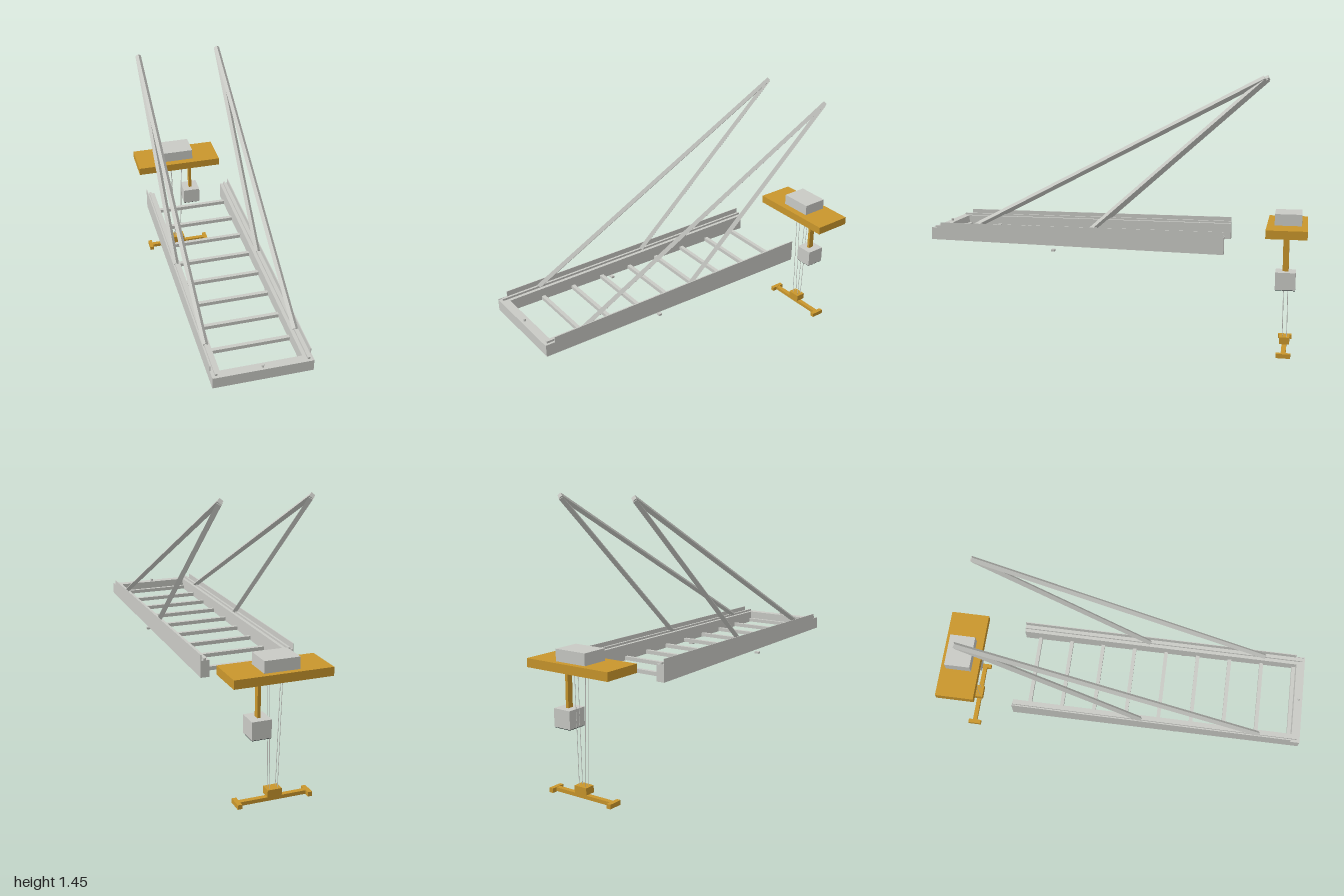
import * as THREE from 'three';

const mat = (name, color) => {
  const m = new THREE.MeshStandardMaterial({ color });
  m.name = name;
  return m;
};

export function createModel() {
  const model = new THREE.Group();
  model.name = 'containerCraneBoom';
  const steel = mat('pale grey steel', 0xc9cac5);
  const gold = mat('golden yellow paint', 0xc9962c);
  const dark = mat('dark cab glass', 0x10181a);

  const add = (name, geometry, material) => {
    const mesh = new THREE.Mesh(geometry, material);
    mesh.name = name;
    model.add(mesh);
    return mesh;
  };
  // box given by its limits on each axis
  const box = (name, material, [x0, x1], [y0, y1], [z0, z1]) => {
    const mesh = add(name, new THREE.BoxGeometry(x1 - x0, y1 - y0, z1 - z0), material);
    mesh.position.set((x0 + x1) / 2, (y0 + y1) / 2, (z0 + z1) / 2);
    return mesh;
  };
  // straight bar between two points; four sides give a diamond section
  const bar = (name, material, a, b, radius, sides) => {
    const from = new THREE.Vector3(...a), to = new THREE.Vector3(...b);
    const dir = to.clone().sub(from);
    const mesh = add(name, new THREE.CylinderGeometry(radius, radius, dir.length(), sides).toNonIndexed(), material);
    mesh.geometry.computeVertexNormals();
    mesh.position.copy(from).add(to).multiplyScalar(0.5);
    mesh.quaternion.setFromUnitVectors(new THREE.Vector3(0, 1, 0), dir.normalize());
    return mesh;
  };
  // side profile of (z, y) points, extruded across x from x0 to x1
  const slab = (name, points, x0, x1) => {
    const shape = new THREE.Shape(points.map(([z, y]) => new THREE.Vector2(z, y)));
    const geometry = new THREE.ExtrudeGeometry(shape, { depth: x1 - x0, bevelEnabled: false });
    geometry.rotateY(-Math.PI / 2).translate(x1, 0, 0);
    return add(name, geometry, steel);
  };

  // underside of the girders drops slightly towards the back
  const under = z => 0.57 - (1 - z) * 0.016;

  for (const s of [-1, 1]) {
    const span = (a, b) => (s > 0 ? [a, b] : [-b, -a]);

    // side girder, raised outer plate and trolley rail
    slab('girder', [[1, under(1)], [1, 0.632], [-0.58, 0.632], [-0.58, under(-0.58)]], ...span(0.203, 0.245));
    slab('girderOuterPlate', [[1, under(1)], [1, 0.635], [0.95, 0.635], [0.95, 0.663],
      [-0.58, 0.663], [-0.58, under(-0.58)]], ...span(0.245, 0.249));
    box('trolleyRail', steel, span(0.221, 0.233), [0.632, 0.643], [-0.58, 0.985]);

    // diagonal stays meeting at the top
    const x = s * 0.227;
    bar('longStay', steel, [x, 0.638, 0.775], [x, 1.438, -0.77], 0.0155, 4);
    bar('shortStay', steel, [x, 0.638, 0.128], [x, 1.43, -0.765], 0.0155, 4);

    // small pin under the girder
    box('lowerPin', steel, span(0.214, 0.24), [0.525, 0.536], [0.316, 0.334]);

    // hoist ropes
    for (const z of [-0.882, -0.905]) {
      bar('hoistRope', steel, [s * 0.035, 0.64, z], [s * 0.02, 0.06, z], 0.0015, 6);
    }
    // end of the lifting spreader
    box('spreaderEnd', gold, span(0.172, 0.195), [0, 0.023], [-0.93, -0.855]);
  }

  // front crossbeam with its small stud
  box('frontCrossbeam', steel, [-0.245, 0.245], [0.57, 0.632], [0.955, 1]);
  bar('frontStud', steel, [0, 0.63, 0.98], [0, 0.645, 0.98], 0.007, 8);

  // rungs between the girders
  for (let i = 0; i < 9; i++) {
    const z = 0.945 - i * 0.18;
    box('rung', steel, [-0.205, 0.205], [under(z) + 0.002, under(z) + 0.022], [z - 0.01, z + 0.01]);
  }

  // trolley and winch house
  box('trolley', gold, [-0.25, 0.25], [0.636, 0.68], [-1, -0.79]);
  box('winchHouse', steel, [-0.09, 0.09], [0.68, 0.74], [-0.97, -0.83]);

  // operator cab hanging on a post
  box('cabPost', gold, [0.076, 0.092], [0.44, 0.636], [-0.908, -0.877]);
  box('cab', steel, [0.035, 0.135], [0.348, 0.44], [-0.945, -0.84]);
  box('cabFloorWindow', dark, [0.037, 0.133], [0.345, 0.348], [-0.943, -0.842]);

  // lifting block and spreader bar
  box('liftingBlock', gold, [-0.037, 0.037], [0.03, 0.066], [-0.92, -0.866]);
  box('blockNeck', gold, [-0.015, 0.015], [0.02, 0.031], [-0.905, -0.88]);
  box('spreaderBar', gold, [-0.173, 0.173], [0.003, 0.022], [-0.905, -0.88]);

  return model;
}
